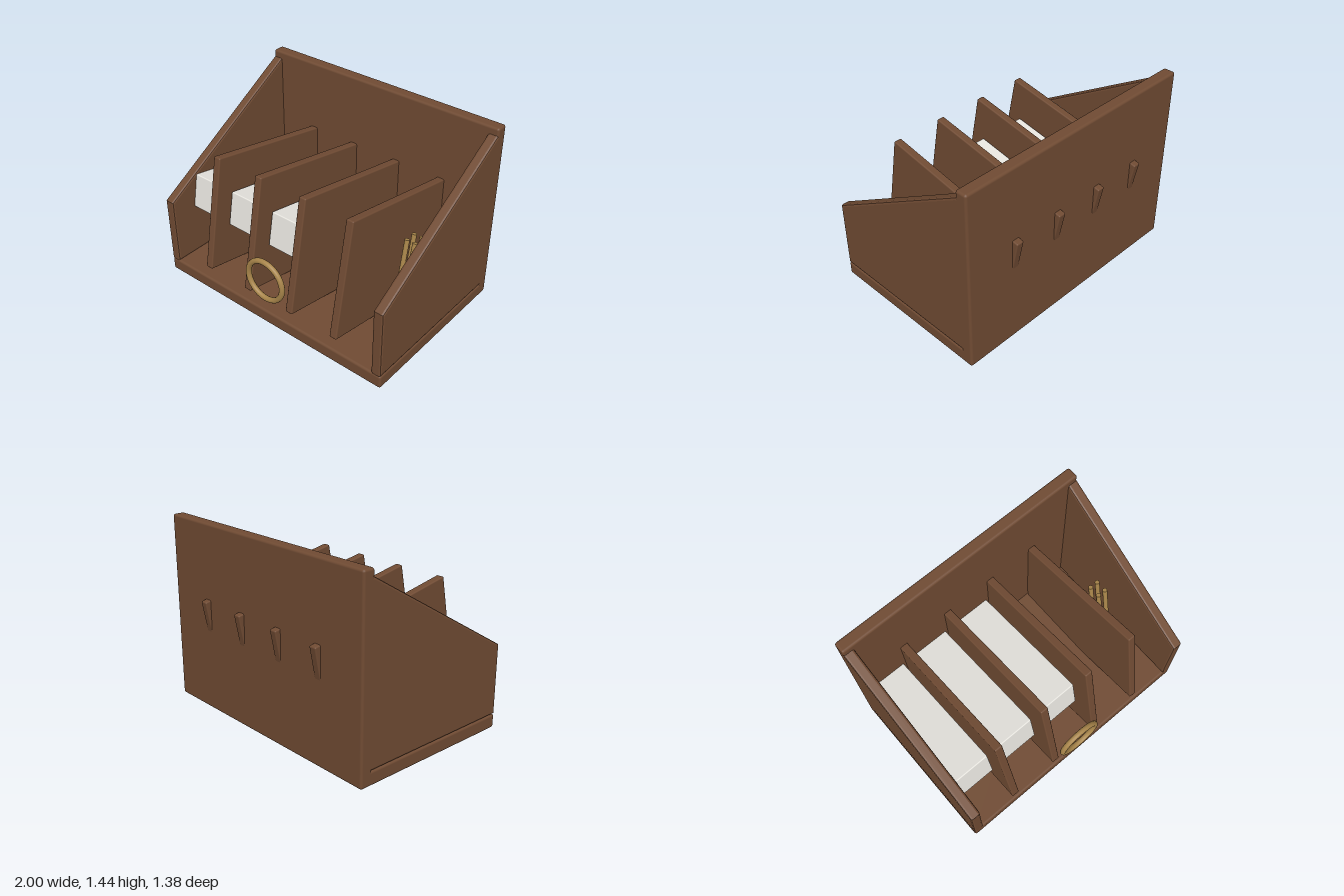
import * as THREE from 'three';
import { RoundedBoxGeometry } from 'three/addons/geometries/RoundedBoxGeometry.js';

const wood = new THREE.MeshStandardMaterial({ color: 0x704b33 });
wood.name = 'brown wood';
const paper = new THREE.MeshStandardMaterial({ color: 0xe8e6e0 });
paper.name = 'white paper';
const brass = new THREE.MeshStandardMaterial({ color: 0xa8854a });
brass.name = 'brass';

// Everything stored inside leans back by the same angle
const LEAN = -0.188;

function add(parent, name, geometry, material, x, y, z, lean = 0) {
  const mesh = new THREE.Mesh(geometry, material);
  mesh.name = name;
  mesh.position.set(x, y, z);
  mesh.rotation.x = lean;
  parent.add(mesh);
  return mesh;
}

// Slanted side wall, drawn as a (z, y) profile and given thickness along x
function sideWallGeometry(thickness, bevel) {
  const shape = new THREE.Shape([
    [0.667, 0.137], [0.667, 0.665], [-0.555, 1.395], [-0.6, 1.395], [-0.6, 0.137],
  ].map(([z, y]) => new THREE.Vector2(z, y)));
  const geometry = new THREE.ExtrudeGeometry(shape, {
    depth: thickness - 2 * bevel,
    bevelThickness: bevel,
    bevelSize: bevel,
    bevelOffset: -bevel,
    bevelSegments: 2,
  });
  geometry.translate(0, 0, -(thickness - 2 * bevel) / 2);
  geometry.rotateY(-Math.PI / 2);
  return geometry;
}

export function createModel() {
  const model = new THREE.Group();
  model.name = 'deskOrganizer';

  // Case: base, back and two side walls
  add(model, 'base', new RoundedBoxGeometry(2, 0.105, 1.312, 2, 0.018), wood, 0, 0.083, 0.011);
  add(model, 'backPanel', new RoundedBoxGeometry(2, 1.418, 0.092, 2, 0.018), wood, 0, 0.74, -0.599);
  const sideGeometry = sideWallGeometry(0.08, 0.016);
  add(model, 'leftWall', sideGeometry, wood, 0.96, 0, 0);
  add(model, 'rightWall', sideGeometry, wood, -0.96, 0, 0);

  // Leaning dividers, which pass through the back and the base
  const dividerGeometry = new RoundedBoxGeometry(0.06, 0.892, 1.202, 2, 0.01);
  for (const x of [-0.595, -0.2, 0.195, 0.59]) {
    add(model, 'divider', dividerGeometry, wood, x, 0.555, -0.015, LEAN);
  }

  // Paper stacks between the dividers
  const paperGeometry = new RoundedBoxGeometry(0.3, 0.267, 1.05, 2, 0.008);
  for (const x of [-0.795, -0.4, -0.005]) {
    add(model, 'paperStack', paperGeometry, paper, x, 0.572, -0.074, LEAN);
  }

  // Two rows of three pens
  const penGeometry = new THREE.CylinderGeometry(0.018, 0.018, 0.604, 16);
  for (const x of [0.705, 0.769, 0.833]) {
    for (const z of [-0.025, 0.06]) {
      add(model, 'pen', penGeometry, brass, x, 0.437, z, LEAN);
    }
  }

  // Ring at the front
  add(model, 'ring', new THREE.TorusGeometry(0.157, 0.021, 12, 40), brass, 0, 0.427, 0.674);

  return model;
}
